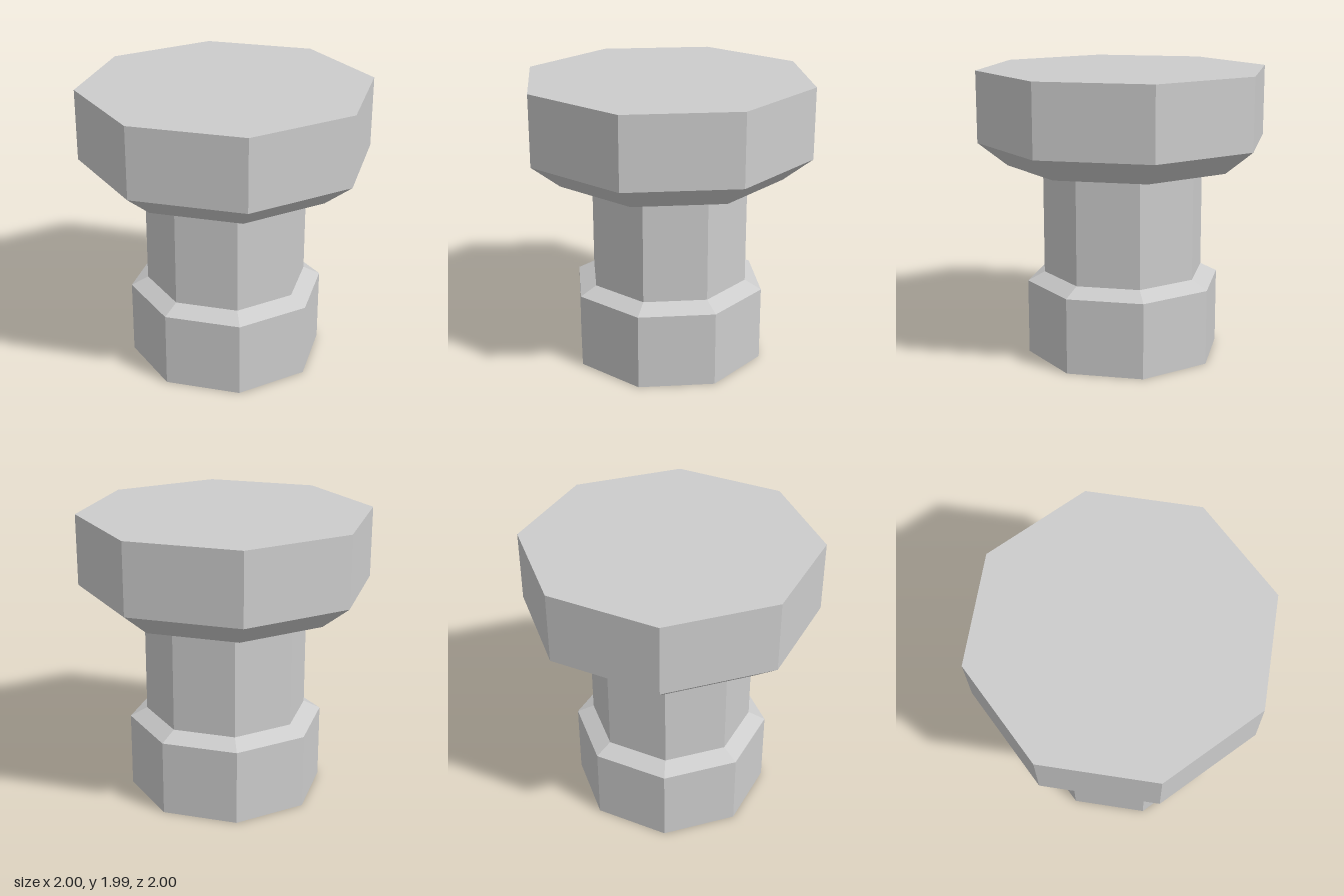
import * as THREE from 'three';

const SIDES = 8;

export function createModel() {
  const group = new THREE.Group();
  group.name = 'octagonalKnob';

  const grey = new THREE.MeshStandardMaterial({ color: 0xcccccc });
  grey.name = 'light grey';
  grey.flatShading = true;

  // Turns a [radius, height] profile into an eight-sided faceted part
  const addPart = (name, profile) => {
    const points = profile.map(([r, y]) => new THREE.Vector2(r, y));
    const geometry = new THREE.LatheGeometry(points, SIDES).toNonIndexed();
    geometry.computeVertexNormals();
    const mesh = new THREE.Mesh(geometry, grey);
    mesh.name = name;
    group.add(mesh);
  };

  // Hollow inside the foot, from its ceiling down to the rim
  addPart('socket', [[0, 1.0], [0.54, 1.0], [0.52, 0]]);

  // Foot: bottom rim, wall and sloping shoulder
  addPart('foot', [[0.52, 0], [0.677, 0], [0.677, 0.52], [0.56, 0.58]]);

  // Narrow neck
  addPart('neck', [[0.56, 0.58], [0.56, 1.34]]);

  // Wide head: flat underside, bevel, wall and flat top
  addPart('head', [[0.56, 1.34], [0.8, 1.34], [1, 1.5], [1, 1.985], [0, 1.985]]);

  return group;
}
